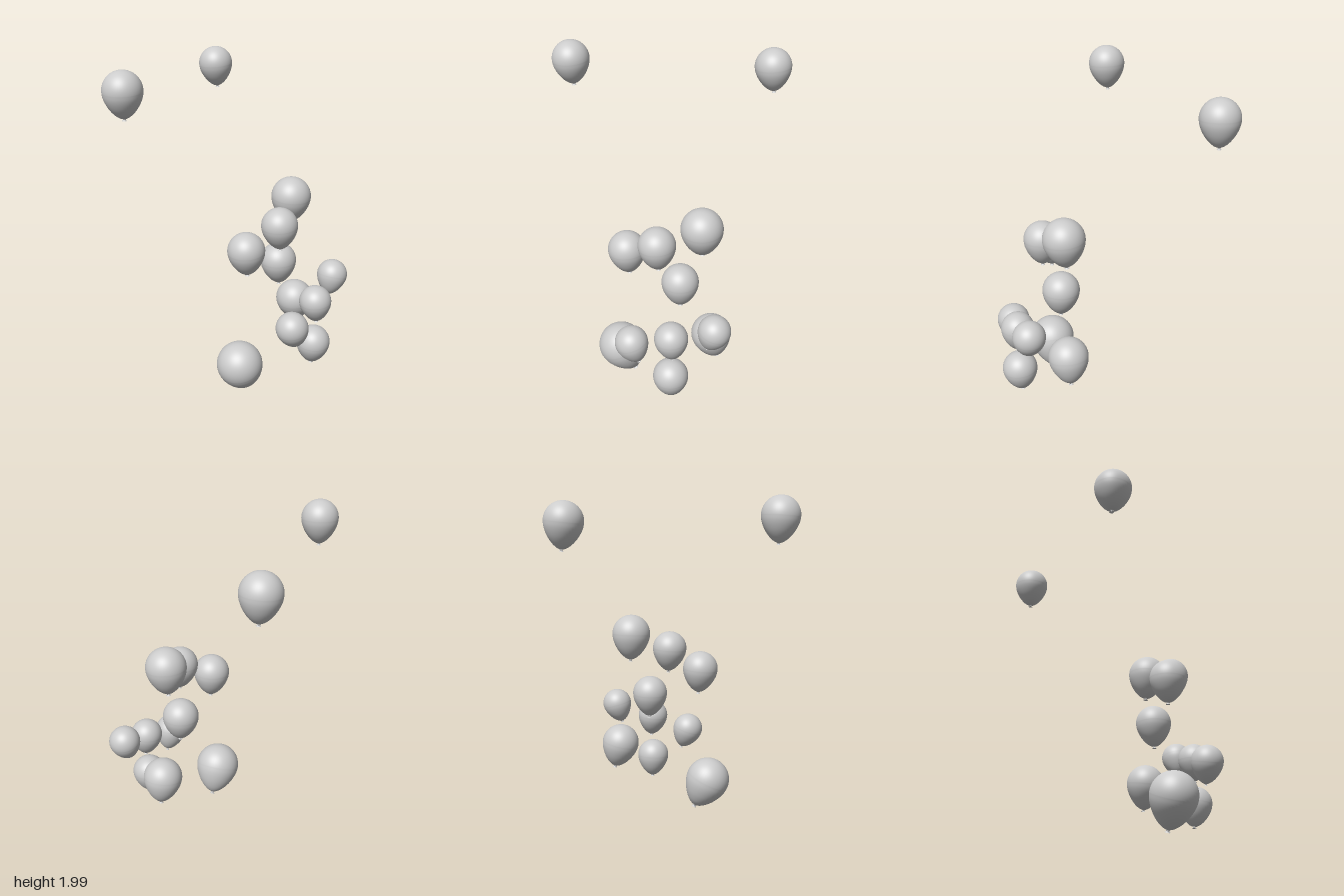
import * as THREE from 'three';

// centre x, top y, centre z, radius, knot offset in x, knot offset in z
const BALLOONS = [
  [-0.573, 2.0, -0.205, 0.111, 0.01, -0.006],
  [0.572, 1.963, -0.521, 0.109, 0.017, 0.002],
  [0.36, 1.275, 0.256, 0.121, 0.005, -0.013],
  [0.123, 1.161, 0.341, 0.109, 0.012, 0.002],
  [-0.086, 1.047, 0.256, 0.111, 0.015, 0],
  [0.241, 0.878, 0.257, 0.11, 0.006, 0.005],
  [0.507, 0.738, 0.489, 0.094, -0.036, 0],
  [0.265, 0.656, 0.524, 0.098, 0.013, 0.006],
  [0.265, 0.381, 0.522, 0.104, 0.004, -0.012],
  [0.024, 0.57, 0.522, 0.098, 0.046, 0],
  [0.439, 0.55, 0.256, 0.118, 0.039, -0.006],
  [-0.137, 0.341, 0.256, 0.14, 0.088, -0.015],
];

// Unit profile: a half sphere above, a rounded taper below
function bodyGeometry() {
  const taper = new THREE.SplineCurve([
    [0.09, -1.37], [0.27, -1.29], [0.5, -1.1], [0.72, -0.82], [0.88, -0.52], [0.97, -0.25], [1, 0],
  ].map(([x, y]) => new THREE.Vector2(x, y))).getPoints(24);
  const dome = [];
  for (let i = 1; i <= 16; i++) {
    const a = (i / 16) * Math.PI / 2;
    dome.push(new THREE.Vector2(i === 16 ? 0 : Math.cos(a), Math.sin(a)));
  }
  return new THREE.LatheGeometry([...taper, ...dome], 48);
}

// Pinched neck opening into a small flared lip
function lipGeometry() {
  const points = [[0.09, -1.36], [0.05, -1.4], [0.06, -1.43], [0.12, -1.48]];
  return new THREE.LatheGeometry(points.map(([x, y]) => new THREE.Vector2(x, y)).reverse(), 20);
}

export function createModel() {
  const model = new THREE.Group();
  model.name = 'balloons';
  const material = new THREE.MeshStandardMaterial({ color: 0xcccccc });
  const thin = new THREE.MeshStandardMaterial({ color: 0xcccccc, side: THREE.DoubleSide });
  const bodyGeo = bodyGeometry();
  const lipGeo = lipGeometry();
  const ringGeo = new THREE.TorusGeometry(0.055, 0.025, 8, 20).rotateX(Math.PI / 2).translate(0, -1.4, 0);
  const down = new THREE.Vector3(0, -1, 0);

  BALLOONS.forEach(([x, top, z, r, dx, dz], i) => {
    const balloon = new THREE.Group();
    balloon.name = `balloon${i + 1}`;
    const add = (name, geometry, mat) => {
      const mesh = new THREE.Mesh(geometry, mat);
      mesh.name = name;
      balloon.add(mesh);
    };
    add('body', bodyGeo, material);
    add('knot', ringGeo, material);
    add('lip', lipGeo, thin);

    // Lean the balloon so its knot points along the given offset
    const reach = 1.46 * r;
    const axis = new THREE.Vector3(dx, -Math.sqrt(reach * reach - dx * dx - dz * dz), dz).normalize();
    balloon.quaternion.setFromUnitVectors(down, axis);
    balloon.scale.setScalar(r);
    balloon.position.set(x, top - r, z);
    model.add(balloon);
  });
  return model;
}
